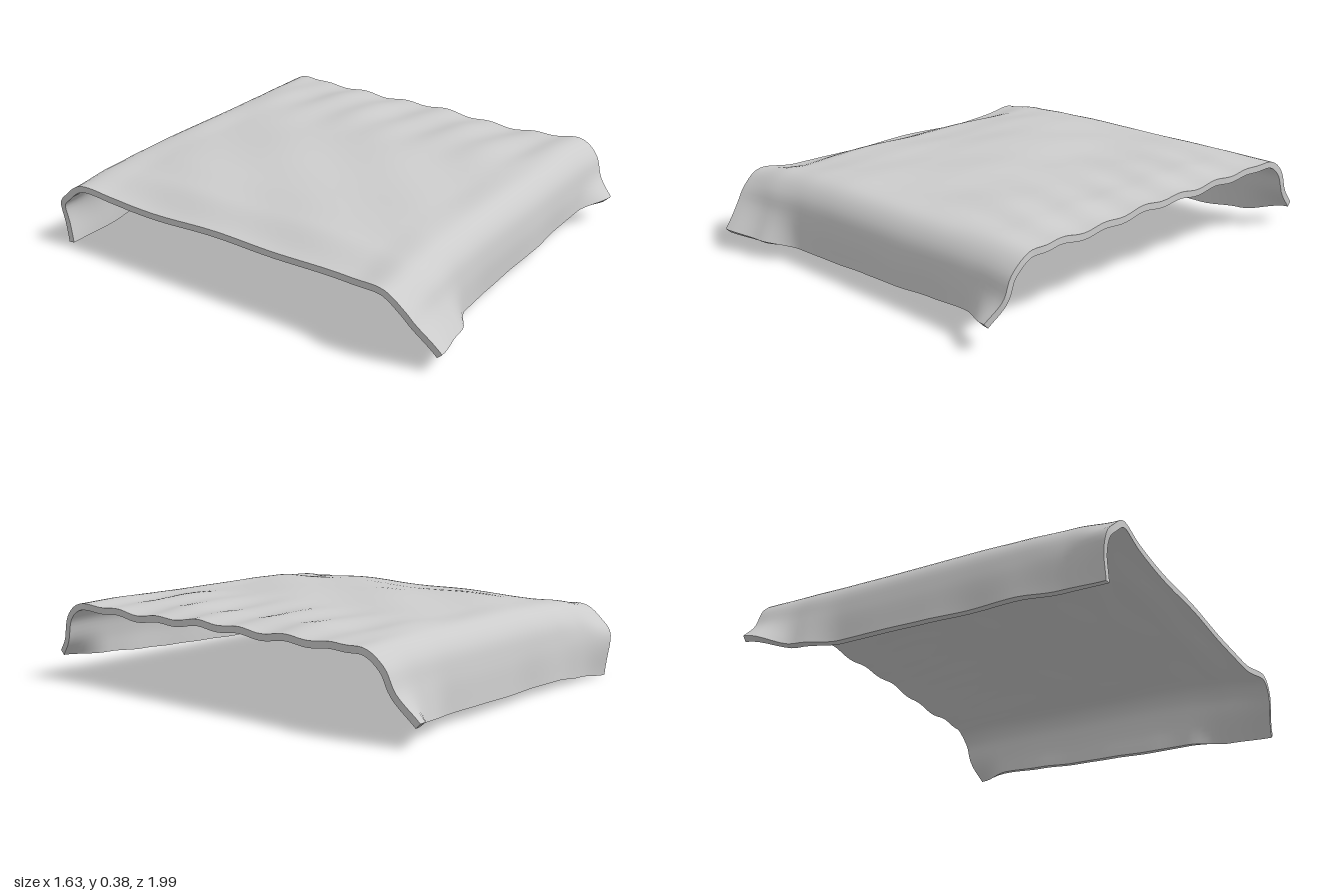
import * as THREE from 'three';
import { toCreasedNormals } from 'three/addons/utils/BufferGeometryUtils.js';

const NX = 56, NZ = 100, THICK = 0.028;

// Values at nine even stations from x = -0.8 to x = 0.8
const HEIGHT = [0.285, 0.343, 0.358, 0.366, 0.367, 0.361, 0.362, 0.355, 0.335];
const SHOULDER = [0.305, 0.328, 0.338, 0.343, 0.343, 0.343, 0.345, 0.347, 0.345];
const FRONT = {
  hemZ: [0.99, 0.955, 0.875, 0.862, 0.862, 0.868, 0.862, 0.872, 0.945],
  hemY: [0.09, 0.08, 0.065, 0.06, 0.068, 0.075, 0.085, 0.1, 0.12],
  midZ: [0.9, 0.885, 0.862, 0.858, 0.858, 0.86, 0.858, 0.862, 0.88],
};
const BACK = {
  hemZ: [0.89, 0.872, 0.875, 0.865, 0.875, 0.875, 0.872, 0.91, 0.998],
  hemY: [0.003, 0.02, 0.038, 0.038, 0.04, 0.044, 0.046, 0.06, 0.1],
  midZ: [0.905, 0.865, 0.86, 0.858, 0.86, 0.86, 0.86, 0.875, 0.91],
};

// Smoothly sample a station table at t in 0..1
function sample(table, t) {
  const f = t * (table.length - 1);
  const i = Math.min(Math.floor(f), table.length - 2);
  return THREE.MathUtils.lerp(table[i], table[i + 1], THREE.MathUtils.smoothstep(f - i, 0, 1));
}

// Half of the draped profile, from near the middle to the hem
function flap(side, sign, t) {
  const top = sample(HEIGHT, t), shoulder = sample(SHOULDER, t);
  const midZ = sample(side.midZ, t), hemZ = sample(side.hemZ, t), hemY = sample(side.hemY, t);
  return [
    [0.3, top], [0.6, top * 0.6 + shoulder * 0.4], [0.77, shoulder],
    [(0.81 + midZ) / 2, shoulder - 0.06], [midZ, 0.19], [hemZ, hemY],
  ].map(([z, y]) => new THREE.Vector3(0, y, z * sign));
}

// Low creases over the flat part, fading out at the flaps
function wrinkle(x, z) {
  const fade = 1 - THREE.MathUtils.smoothstep(Math.abs(z), 0.6, 0.82);
  const ribs = Math.sin(z * 27 + Math.sin(x * 5)) * THREE.MathUtils.smoothstep(x, 0.1, 0.6) * 0.006;
  const folds = Math.sin(x * 9 + z * 2.5) * Math.sin(z * 8 + x * 2) * 0.007;
  return (ribs + folds + 0.007 * Math.cos(z * 2.2)) * fade;
}

// Grid of outer surface points
function clothPoints() {
  const grid = [];
  for (let i = 0; i <= NX; i++) {
    const t = i / NX, u = t * 2 - 1;
    const middle = new THREE.Vector3(0, sample(HEIGHT, t), 0);
    const path = [...flap(BACK, -1, t).reverse(), middle, ...flap(FRONT, 1, t)];
    const curve = new THREE.CatmullRomCurve3(path);
    grid.push(curve.getSpacedPoints(NZ).map((p) => {
      const bulge = (p.z > 0 ? 0.032 : 0.012) * Math.exp(-(((Math.abs(p.z) - 0.8) / 0.13) ** 2));
      const low = THREE.MathUtils.smoothstep(0.24 - p.y, 0, 0.16);
      p.x = u * (0.785 + bulge - 0.02 * low);
      p.y += wrinkle(p.x, p.z);
      return p;
    }));
  }
  return grid;
}

// Closed sheet: outer skin, inner skin and the rim joining them
function sheetGeometry() {
  const grid = clothPoints();
  const row = NZ + 1, count = (NX + 1) * row;
  const outer = [], inner = [], index = [];
  const at = (i, j) => grid[THREE.MathUtils.clamp(i, 0, NX)][THREE.MathUtils.clamp(j, 0, NZ)];
  for (let i = 0; i <= NX; i++) {
    for (let j = 0; j <= NZ; j++) {
      const p = at(i, j);
      const alongX = at(i + 1, j).clone().sub(at(i - 1, j));
      const alongZ = at(i, j + 1).clone().sub(at(i, j - 1));
      const n = alongZ.cross(alongX).normalize();
      outer.push(p.x, p.y, p.z);
      inner.push(p.x - n.x * THICK * 0.3, Math.max(0, p.y - n.y * THICK), p.z - n.z * THICK);
    }
  }
  const id = (i, j) => i * row + j;
  const quad = (a, b, c, d) => index.push(a, b, c, a, c, d);
  for (let i = 0; i < NX; i++) {
    for (let j = 0; j < NZ; j++) {
      const a = id(i, j), b = id(i, j + 1), c = id(i + 1, j + 1), d = id(i + 1, j);
      quad(a, b, c, d);
      quad(a + count, d + count, c + count, b + count);
    }
  }
  const rim = (a, b) => quad(a, a + count, b + count, b);
  for (let i = 0; i < NX; i++) {
    rim(id(i, NZ), id(i + 1, NZ));
    rim(id(i + 1, 0), id(i, 0));
  }
  for (let j = 0; j < NZ; j++) {
    rim(id(0, j), id(0, j + 1));
    rim(id(NX, j + 1), id(NX, j));
  }
  const geometry = new THREE.BufferGeometry();
  geometry.setAttribute('position', new THREE.Float32BufferAttribute([...outer, ...inner], 3));
  geometry.setIndex(index);
  return toCreasedNormals(geometry, 0.9);
}

export function createModel() {
  const model = new THREE.Group();
  model.name = 'drapedBlanket';
  const material = new THREE.MeshStandardMaterial({ color: 0xcccccc, side: THREE.DoubleSide });
  const blanket = new THREE.Mesh(sheetGeometry(), material);
  blanket.name = 'blanket';
  model.add(blanket);
  return model;
}
